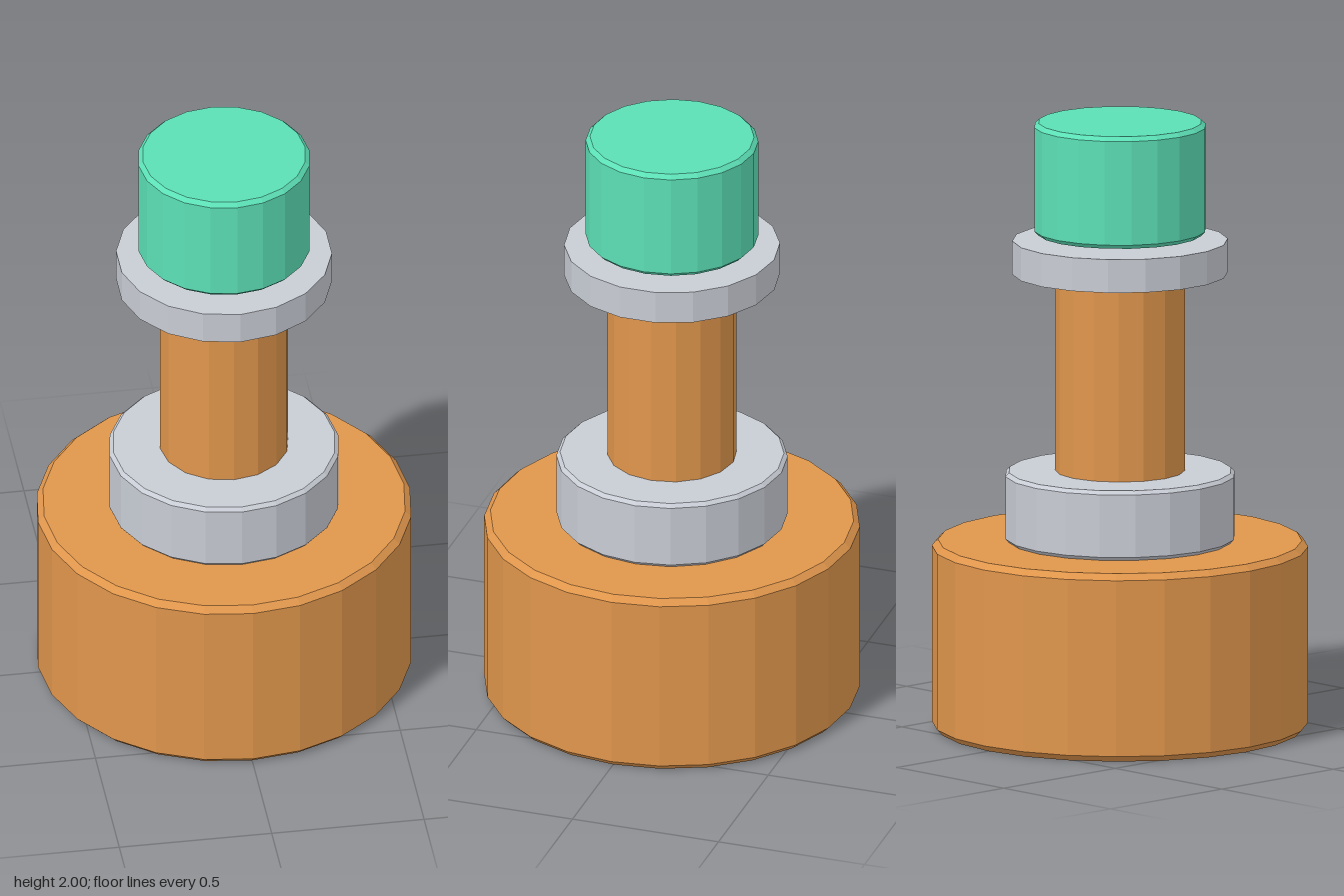
import * as THREE from 'three';

const orange = 0xe0964c, grey = 0xc8ccd4, green = 0x5ce0b6;

// Faceted solid drum from y0 to y1 with an optional chamfer on both rims
function drum(name, color, radius, y0, y1, sides, bevel = 0) {
  const profile = bevel
    ? [[0, y0], [radius - bevel, y0], [radius, y0 + bevel], [radius, y1 - bevel], [radius - bevel, y1], [0, y1]]
    : [[0, y0], [radius, y0], [radius, y1], [0, y1]];
  const geometry = new THREE.LatheGeometry(profile.map(([r, y]) => new THREE.Vector2(r, y)), sides);
  const mesh = new THREE.Mesh(geometry, new THREE.MeshStandardMaterial({ color, flatShading: true }));
  mesh.name = name;
  return mesh;
}

export function createModel() {
  const model = new THREE.Group();
  model.name = 'stackedPost';
  model.add(
    drum('base', orange, 0.61, 0, 0.62, 24, 0.02),
    drum('lowerCollar', grey, 0.375, 0.62, 0.85, 20, 0.012),
    drum('column', orange, 0.21, 0.85, 1.5, 16),
    drum('upperFlange', grey, 0.35, 1.5, 1.61, 18),
    // The cap hovers just above the flange
    drum('cap', green, 0.28, 1.63, 2, 20, 0.014),
  );
  return model;
}
